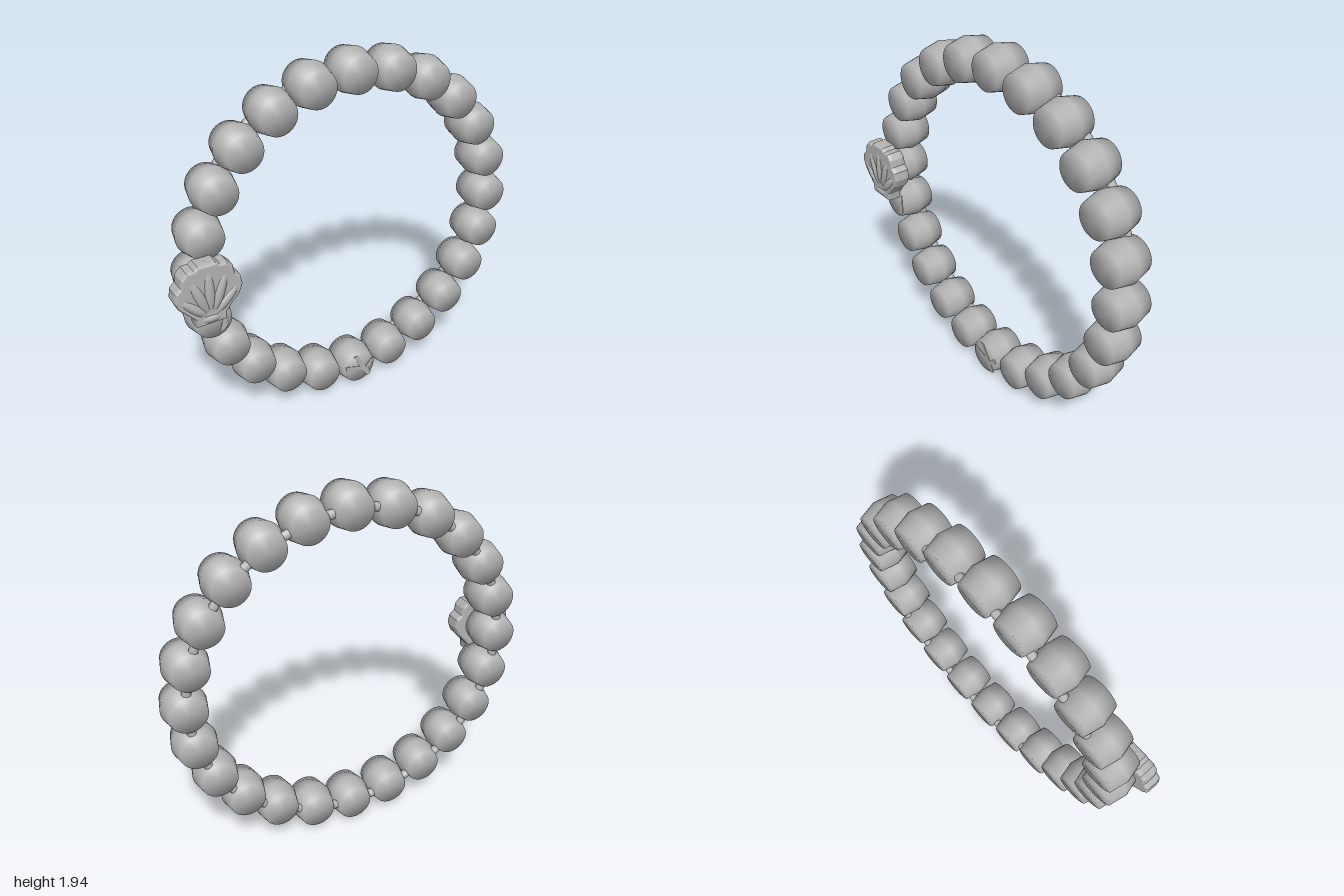
import * as THREE from 'three';

const COUNT = 24, RING = 0.857, CX = 0.034, CY = 0.976, CZ = -0.046, HALF = 0.095;

export function createModel() {
  const model = new THREE.Group();
  const grey = new THREE.MeshStandardMaterial({ color: 0xb3b3b3 });
  grey.name = 'grey';
  const add = (name, geometry, parent = model) => {
    const mesh = new THREE.Mesh(geometry, grey);
    mesh.name = name;
    parent.add(mesh);
    return mesh;
  };

  // Beads: smooth, blunt double cones with their axis along z
  const profile = [[0, -HALF], [0.094, -HALF], [0.115, 0], [0.094, HALF], [0, HALF]];
  const beadShape = new THREE.LatheGeometry(profile.map(p => new THREE.Vector2(...p)), 32);
  beadShape.rotateX(Math.PI / 2);
  const beads = new THREE.Group();
  beads.name = 'beads';
  model.add(beads);
  for (let i = 0; i < COUNT; i++) {
    const a = (i / COUNT) * Math.PI * 2;
    add('bead', beadShape, beads)
      .position.set(CX + RING * Math.cos(a), CY + RING * Math.sin(a), CZ);
  }

  // Cord showing in the gaps between the beads
  const cord = add('cord', new THREE.TorusGeometry(RING, 0.024, 8, 96));
  cord.position.set(CX, CY, -0.105);

  // Shell charm: scalloped body with rounded rim
  const shell = new THREE.Group();
  shell.name = 'shellCharm';
  shell.position.set(-0.83, 0, 0);
  model.add(shell);
  const half = [[0.066, 0.812], [0.07, 0.85], [0.1, 0.885], [0.142, 0.93], [0.158, 0.97],
    [0.152, 1.01], [0.124, 1.035], [0.118, 1.075], [0.095, 1.1], [0.06, 1.1], [0.04, 1.115]];
  const outline = [...half, ...half.map(([x, y]) => [-x, y]).reverse()];
  const body = new THREE.ExtrudeGeometry(
    new THREE.Shape(outline.map(p => new THREE.Vector2(...p))),
    { depth: 0.045, bevelThickness: 0.025, bevelSize: 0.012, bevelSegments: 4 });
  body.translate(0, 0, 0.058);
  add('shellBody', body, shell);

  // Raised ribs fanning out from the hinge
  for (const [angle, length, width] of [[-0.78, 0.23, 0.033], [-0.36, 0.28, 0.036],
    [0, 0.3, 0.036], [0.36, 0.28, 0.036], [0.78, 0.23, 0.033]]) {
    const rib = new THREE.SphereGeometry(1, 20, 14);
    rib.scale(width, length / 2, 0.045);
    rib.translate(0, length / 2, 0);
    const mesh = add('shellRib', rib, shell);
    mesh.position.set(0, 0.83, 0.095);
    mesh.rotation.z = -angle;
  }
  const hinge = new THREE.SphereGeometry(1, 20, 12);
  hinge.scale(0.08, 0.032, 0.044);
  hinge.translate(0, 0.833, 0.093);
  add('shellHinge', hinge, shell);

  // Thin facets on the faces of two marked beads
  const facet = (name, points) => {
    const plate = new THREE.ExtrudeGeometry(
      new THREE.Shape(points.map(p => new THREE.Vector2(...p))), { depth: 0.004, bevelEnabled: false });
    plate.translate(0, 0, CZ + HALF - 0.001);
    add(name, plate);
  };
  facet('crossFacet', [[-0.005, 0.2], [0.02, 0.2], [0.11, 0.05], [0.085, 0.035]]);
  facet('crossFacet', [[-0.055, 0.15], [-0.05, 0.125], [0.05, 0.095], [0.04, 0.12]]);
  facet('crossFacet', [[0.075, 0.11], [0.085, 0.09], [0.13, 0.13], [0.115, 0.15]]);
  facet('sideFacet', [[-0.73, 0.82], [-0.77, 0.68], [-0.73, 0.7]]);

  return model;
}
